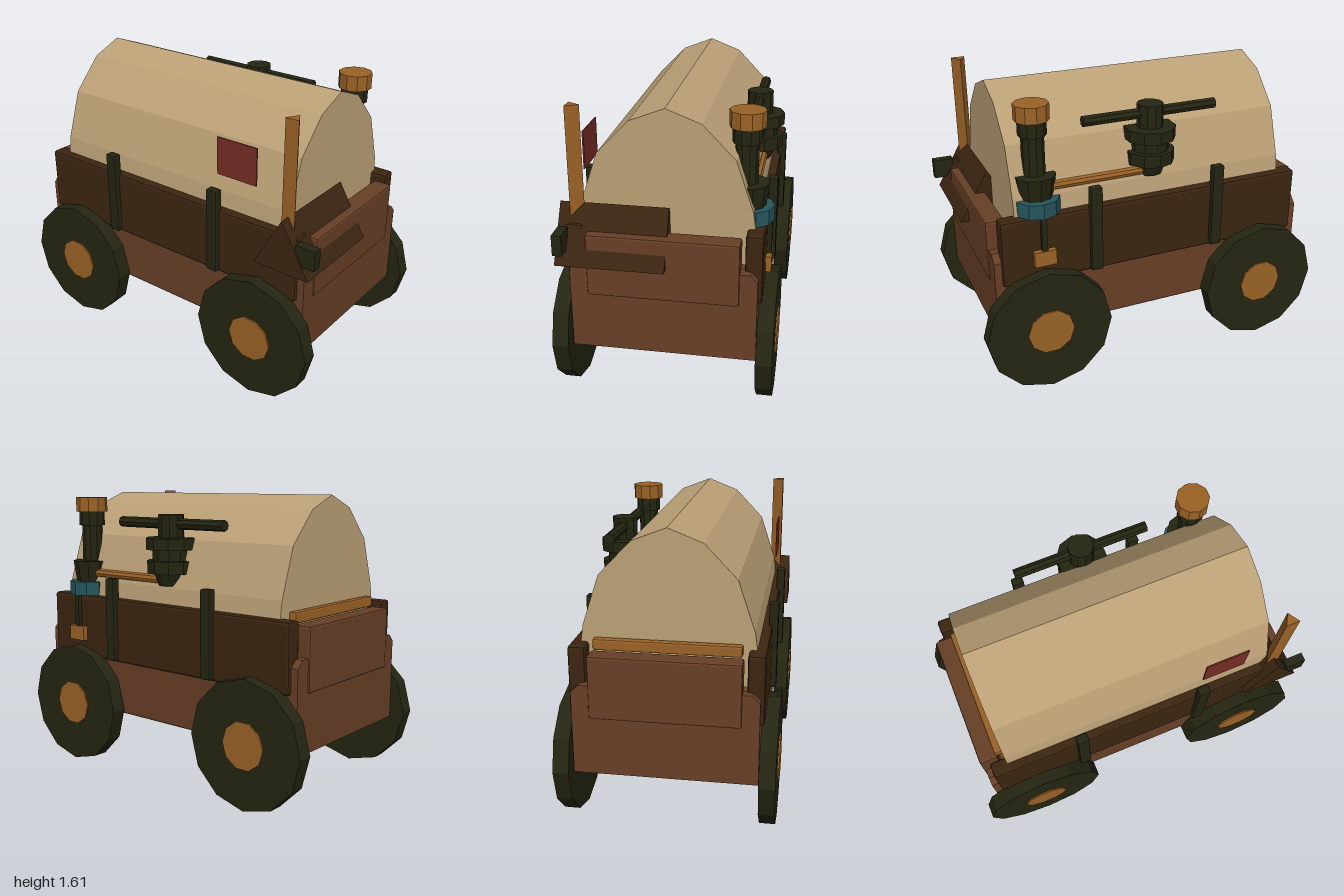
import * as THREE from 'three';
import { RoundedBoxGeometry } from 'three/addons/geometries/RoundedBoxGeometry.js';

const mat = (name, color) => {
  const m = new THREE.MeshStandardMaterial({ color });
  m.name = name;
  return m;
};

export function createModel() {
  const root = new THREE.Group();
  root.name = 'wagon';
  const canvas = mat('canvas', 0xbba076);
  const brown = mat('brownWood', 0x673f26);
  const dark = mat('darkWood', 0x3b2511);
  const iron = mat('darkIron', 0x242511);
  const brass = mat('brass', 0x9a6226);
  const red = mat('redCloth', 0x762d26);
  const teal = mat('tealEnamel', 0x24565c);

  const add = (name, geo, material, x = 0, y = 0, z = 0) => {
    const g = geo.index ? geo.toNonIndexed() : geo;
    g.computeVertexNormals();
    const m = new THREE.Mesh(g, material);
    m.name = name;
    m.position.set(x, y, z);
    root.add(m);
    return m;
  };
  // Box given by its lower and upper limits, with an optional small bevel
  const box = (name, material, [x0, x1], [y0, y1], [z0, z1], bevel = 0) => {
    const s = [x1 - x0, y1 - y0, z1 - z0];
    const geo = bevel ? new RoundedBoxGeometry(...s, 1, bevel) : new THREE.BoxGeometry(...s);
    return add(name, geo, material, (x0 + x1) / 2, (y0 + y1) / 2, (z0 + z1) / 2);
  };
  // Upright faceted cylinder between two heights
  const column = (name, material, x, z, y0, y1, rTop, rBottom = rTop, sides = 10) =>
    add(name, new THREE.CylinderGeometry(rTop, rBottom, y1 - y0, sides), material, x, (y0 + y1) / 2, z);
  // Outline in the XY plane, extruded along +z
  const prism = (points, depth) => new THREE.ExtrudeGeometry(
    new THREE.Shape(points.map(([x, y]) => new THREE.Vector2(x, y))), { depth, bevelEnabled: false });

  // Body
  box('chassis', brown, [-0.89, 0.89], [0.32, 0.68], [-0.48, 0.48], 0.015);
  for (const s of [-1, 1]) {
    box('sideWall', dark, [-0.875, 0.875], [0.63, 1.0], s > 0 ? [0.41, 0.5] : [-0.5, -0.41], 0.015);

    // End boards with clipped upper corners, and the raised panel on each
    const lower = prism([[-0.48, 0.32], [0.48, 0.32], [0.48, 0.77], [0.44, 0.81], [-0.44, 0.81], [-0.48, 0.77]], 0.06);
    lower.rotateY(Math.PI / 2);
    add('endBoard', lower, brown, s > 0 ? 0.855 : -0.915);
    box('endPanel', brown, s > 0 ? [0.82, 0.925] : [-0.925, -0.82], [0.63, 0.97], [-0.39, 0.39], 0.012);

    // Axle
    const axle = new THREE.CylinderGeometry(0.05, 0.05, 1.0, 8);
    axle.rotateX(Math.PI / 2);
    add('axle', axle, dark, s * 0.65, 0.35, 0);

    for (const t of [-1, 1]) {
      // Wheel and hub
      const wheel = new THREE.CylinderGeometry(0.35, 0.35, 0.085, 12);
      wheel.rotateX(Math.PI / 2);
      add('wheel', wheel, iron, s * 0.65, 0.35, t * 0.5275);
      const hub = new THREE.CylinderGeometry(0.13, 0.13, 0.09, 10);
      hub.rotateY(Math.PI / 10);
      hub.rotateX(Math.PI / 2);
      add('hub', hub, brass, s * 0.65, 0.35, t * 0.533);
      // Wall strap
      box('strap', iron, [s * 0.36 - 0.033, s * 0.36 + 0.033], [0.64, 1.12],
        t > 0 ? [0.48, 0.53] : [-0.53, -0.48], 0.008);
    }
  }
  box('endRail', brass, [-0.83, -0.785], [0.97, 1.03], [-0.38, 0.38], 0.01);

  // Canvas cover
  const half = [[0.45, 0.8], [0.45, 1.0], [0.437, 1.09], [0.348, 1.355], [0.18, 1.53]];
  const outline = [...half, [0, 1.6], ...half.slice().reverse().map(([z, y]) => [-z, y])];
  const cover = prism(outline, 1.57);
  cover.rotateY(Math.PI / 2);
  add('canvasCover', cover, canvas, -0.785);
  box('redPatch', red, [0.36, 0.605], [1.195, 1.4], [0.465, 0.473]);

  // Corner post, wedge and peg
  const post = prism([[-0.038, -0.48], [0.038, -0.48], [0, -0.415]], 0.66);
  post.rotateX(-Math.PI / 2);
  add('cornerPost', post, brass, 0.805, 0.945, 0);
  add('wedge', prism([[0.645, 0.81], [0.97, 0.81], [0.805, 1.095]], 0.56), dark, 0, 0, -0.02);
  box('peg', iron, [0.885, 1.0], [0.88, 0.99], [0.485, 0.535]);

  // Stovepipe
  const px = 0.65, pz = -0.385;
  column('pipe', iron, px, pz, 0.95, 1.45, 0.06);
  column('pipeCollar', iron, px, pz, 1.41, 1.5, 0.075);
  column('pipeCap', brass, px, pz, 1.49, 1.575, 0.092);
  column('pipeFlange', iron, px, pz - 0.01, 1.06, 1.2, 0.11, 0.09);
  column('pipeRing', teal, px, pz - 0.025, 1.0, 1.08, 0.122);
  box('drainPipe', iron, [0.635, 0.665], [0.8, 1.01], [-0.525, -0.495]);
  box('drainBox', brass, [0.59, 0.71], [0.73, 0.815], [-0.53, -0.49]);

  // Feed pipe
  const feed = new THREE.CylinderGeometry(0.025, 0.025, 0.56, 8);
  feed.rotateZ(Math.PI / 2);
  add('feedPipe', feed, brass, 0.34, 1.13, -0.42);

  // Valve with crossbar
  const vz = -0.39;
  column('valveFoot', iron, 0, vz, 1.1, 1.18, 0.1, 0.07);
  column('valveLowerDisc', iron, 0, vz, 1.17, 1.24, 0.135);
  column('valveBody', iron, 0, vz, 1.23, 1.31, 0.105);
  column('valveUpperDisc', iron, 0, vz, 1.3, 1.365, 0.14);
  column('valveHub', iron, 0, vz, 1.36, 1.49, 0.072);
  const bar = new THREE.CylinderGeometry(0.03, 0.03, 0.765, 8);
  bar.rotateZ(Math.PI / 2);
  add('valveBar', bar, iron, 0, 1.44, vz);

  return root;
}
